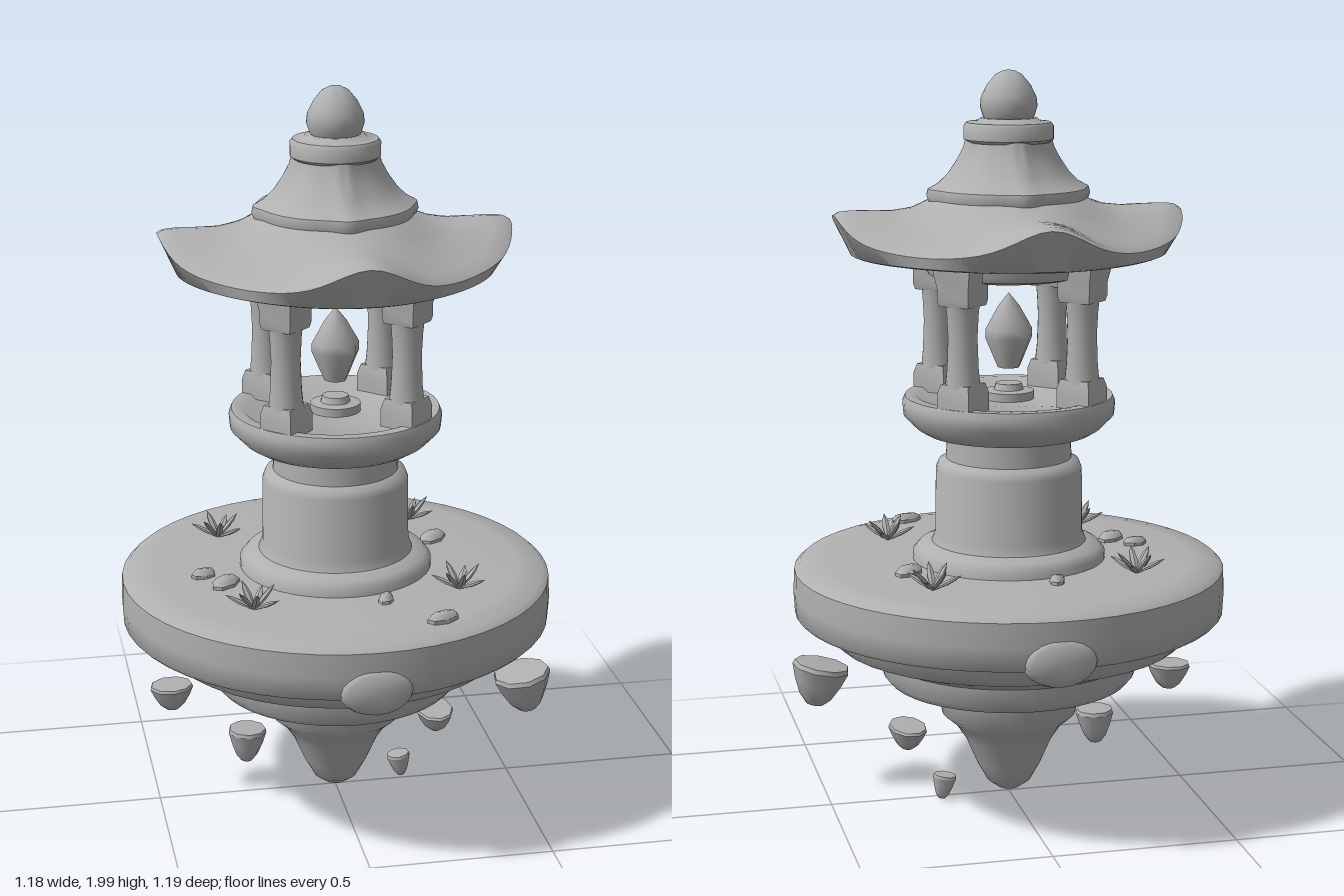
import * as THREE from 'three';
import { toCreasedNormals } from 'three/addons/utils/BufferGeometryUtils.js';

const stone = new THREE.MeshStandardMaterial({ color: 0xb0b0b0 });
stone.name = 'grey stone';

function add(parent, name, geometry, x = 0, y = 0, z = 0) {
  const mesh = new THREE.Mesh(geometry, stone);
  mesh.name = name;
  mesh.position.set(x, y, z);
  parent.add(mesh);
  return mesh;
}

// Turned solid from [radius, height] pairs, listed bottom to top
function turned(points, sides = 48, crease = 0.75) {
  const g = new THREE.LatheGeometry(points.map(([r, y]) => new THREE.Vector2(r, y)), sides);
  return toCreasedNormals(g, crease);
}

// Turned roof whose vertices are moved by rule(r, y, ridge, spread) -> [r, y]
function ridgedRoof(points, width, rule) {
  const g = new THREE.LatheGeometry(points.map(([r, y]) => new THREE.Vector2(r, y)), 96);
  const p = g.attributes.position;
  for (let i = 0; i < p.count; i++) {
    const x = p.getX(i), y = p.getY(i), z = p.getZ(i);
    const r = Math.hypot(x, z);
    const side = Math.min(Math.abs(x), Math.abs(z));
    const ridge = Math.exp(-((side / width) ** 2));
    const spread = Math.cos(2 * Math.atan2(z, x)) ** 2;
    const [nr, ny] = rule(r, y, ridge, spread);
    p.setXYZ(i, x * nr / r, ny, z * nr / r);
  }
  return toCreasedNormals(g, 0.75);
}

export function createModel() {
  const model = new THREE.Group();
  model.name = 'floatingShrine';

  // Floating island: stepped underside and a broad disc
  const island = new THREE.Group();
  island.name = 'island';
  model.add(island);
  add(island, 'islandRock', turned([
    [0, 0.02], [0.03, 0.023], [0.06, 0.045], [0.09, 0.1], [0.12, 0.17], [0.15, 0.215], [0.185, 0.245],
    [0.195, 0.31], [0.22, 0.325], [0.33, 0.345], [0.347, 0.365], [0.352, 0.415], [0.38, 0.43],
    [0.475, 0.465], [0.495, 0.485], [0.515, 0.545],
  ], 40));
  add(island, 'islandDisc', turned([
    [0.45, 0.535], [0.575, 0.535], [0.585, 0.545], [0.588, 0.6], [0.585, 0.665], [0.57, 0.678], [0.5, 0.684], [0, 0.688],
  ]));
  for (const s of [1, -1]) {
    const spout = add(island, s > 0 ? 'frontSpout' : 'backSpout', turned([
      [1, 0], [1, 0.12], [0.93, 0.135], [0.8, 0.143], [0, 0.146],
    ], 20), 0, 0.555, s * 0.45);
    spout.rotation.x = s * Math.PI / 2;
    spout.scale.set(0.097, 1, 0.066);
  }

  // Central pillar with its foot and the balcony bowl
  add(model, 'pillar', turned([
    [0.262, 0.67], [0.262, 0.705], [0.245, 0.725], [0.21, 0.735], [0.2, 0.76], [0.198, 0.935],
    [0.19, 0.955], [0.17, 0.965], [0.167, 1.05],
  ]));
  add(model, 'balcony', turned([
    [0.16, 1.03], [0.225, 1.035], [0.25, 1.05], [0.284, 1.085], [0.287, 1.12], [0.28, 1.137],
    [0.25, 1.137], [0.235, 1.125], [0, 1.125],
  ]));
  add(model, 'crystalStand', turned([
    [0.068, 1.12], [0.068, 1.147], [0.04, 1.15], [0.035, 1.167], [0, 1.167],
  ], 20));
  add(model, 'crystal', turned([
    [0, 1.205], [0.03, 1.21], [0.064, 1.29], [0.064, 1.315], [0.03, 1.375], [0, 1.412],
  ], 8, 0.9));

  // Four posts with square foot and head, set on the diagonals
  for (let i = 0; i < 4; i++) {
    const post = new THREE.Group();
    post.name = 'post';
    post.rotation.y = Math.PI / 4 + i * Math.PI / 2;
    model.add(post);
    const square = (name, pts) => {
      const m = add(post, name, turned(pts.map(([h, y]) => [h * Math.SQRT2, y]), 4), 0, 0, 0.227);
      m.rotation.y = Math.PI / 4;
    };
    square('postFoot', [[0.049, 1.12], [0.049, 1.175], [0.042, 1.2], [0, 1.2]]);
    add(post, 'postShaft', turned([
      [0.047, 1.19], [0.042, 1.24], [0.039, 1.32], [0.042, 1.38], [0.046, 1.42],
    ], 16), 0, 0, 0.227);
    square('postHead', [[0, 1.405], [0.044, 1.405], [0.048, 1.42], [0.048, 1.455], [0.055, 1.49], [0.055, 1.545]]);
  }
  add(model, 'roofRing', turned([
    [0.17, 1.56], [0.17, 1.465], [0.185, 1.457], [0.215, 1.465], [0.222, 1.48], [0.225, 1.56],
  ]));

  // Lower roof: four upturned corners on the axes
  add(model, 'lowerRoof', ridgedRoof([
    [0.14, 1.56], [0.25, 1.55], [0.36, 1.525], [0.4, 1.518], [0.41, 1.522], [0.415, 1.55], [0.4, 1.56],
    [0.37, 1.57], [0.33, 1.586], [0.29, 1.605], [0.25, 1.63], [0.21, 1.66], [0.17, 1.68],
  ], 0.1, (r, y, ridge, spread) => {
    const k = THREE.MathUtils.smoothstep(r, 0.19, 0.415);
    if (y < 1.53) return [r + 0.012 * k * spread, y];
    if (r < 0.3 && y < 1.57) return [r, y];
    return [r + 0.055 * k * spread, y + (0.055 * ridge + 0.025 * spread) * k];
  }));

  // Upper roof, collar and finial
  add(model, 'upperRoof', ridgedRoof([
    [0.17, 1.645], [0.2, 1.655], [0.208, 1.675], [0.204, 1.692], [0.175, 1.708], [0.15, 1.732],
    [0.125, 1.768], [0.108, 1.8], [0.1, 1.83],
  ], 0.035, (r, y, ridge) => [r + 0.014 * ridge, y]));
  add(model, 'collar', turned([
    [0.07, 1.812], [0.11, 1.812], [0.119, 1.82], [0.119, 1.855], [0.112, 1.864], [0.085, 1.866], [0.075, 1.875], [0, 1.877],
  ]));
  add(model, 'finial', turned([
    [0.058, 1.86], [0.068, 1.88], [0.076, 1.905], [0.073, 1.93], [0.058, 1.96], [0.035, 1.988], [0.015, 1.998], [0, 2],
  ], 32));

  // Drifting rocks: flat on top, tapering below: x, y of top, z, half sizes, height, tilt
  const rocks = [
    [-0.46, 0.352, -0.01, 0.062, 0.055, 0.075, 0.03],
    [-0.255, 0.22, 0.03, 0.055, 0.055, 0.1, -0.03],
    [0.285, 0.222, 0, 0.054, 0.085, 0.066, 0.05],
    [0.5, 0.375, 0.13, 0.083, 0.085, 0.12, 0.2],
    [0.185, 0.078, -0.02, 0.034, 0.032, 0.07, 0.15],
  ];
  for (const [x, y, z, w, d, h, tilt] of rocks) {
    const rock = add(model, 'driftingRock', turned([
      [0, -1], [0.3, -0.98], [0.55, -0.8], [0.8, -0.45], [0.97, -0.12], [0.92, -0.02], [0, 0],
    ], 9), x, y, z);
    rock.scale.set(w, h, d);
    rock.rotation.z = tilt;
  }

  // Leafy tufts on the disc
  for (const [x, z] of [[0.29, 0.25], [-0.29, -0.25], [0.27, -0.29], [-0.27, 0.29]]) {
    const tuft = new THREE.Group();
    tuft.name = 'tuft';
    tuft.position.set(x, 0.685, z);
    model.add(tuft);
    for (let i = 0; i < 7; i++) {
      const g = turned([[0.004, 0], [0.011, 0.04], [0.008, 0.065], [0, 0.085]], 6);
      g.scale(1, 1, 0.6);
      const leaf = add(tuft, 'leaf', g);
      leaf.rotation.order = 'YXZ';
      leaf.rotation.set(0.75 + 0.35 * (i % 2), i * Math.PI * 2 / 7, 0);
    }
  }

  // Flat stones on the disc: x, z, half length, half width, turn
  const slabs = [
    [0.2, 0.45, 0.048, 0.024, 0.4], [0.3, -0.12, 0.05, 0.03, 0.8], [-0.32, 0.11, 0.05, 0.03, 0.8],
    [0.08, 0.3, 0.03, 0.02, 1.2], [-0.06, -0.3, 0.03, 0.02, 1.2], [-0.37, 0.04, 0.035, 0.022, 0.3],
  ];
  for (const [x, z, l, w, turn] of slabs) {
    const slab = add(model, 'flatStone', turned([[1, 0], [1, 0.014], [0.75, 0.024], [0, 0.026]], 7), x, 0.68, z);
    slab.scale.set(l, 1, w);
    slab.rotation.y = turn;
  }
  return model;
}
